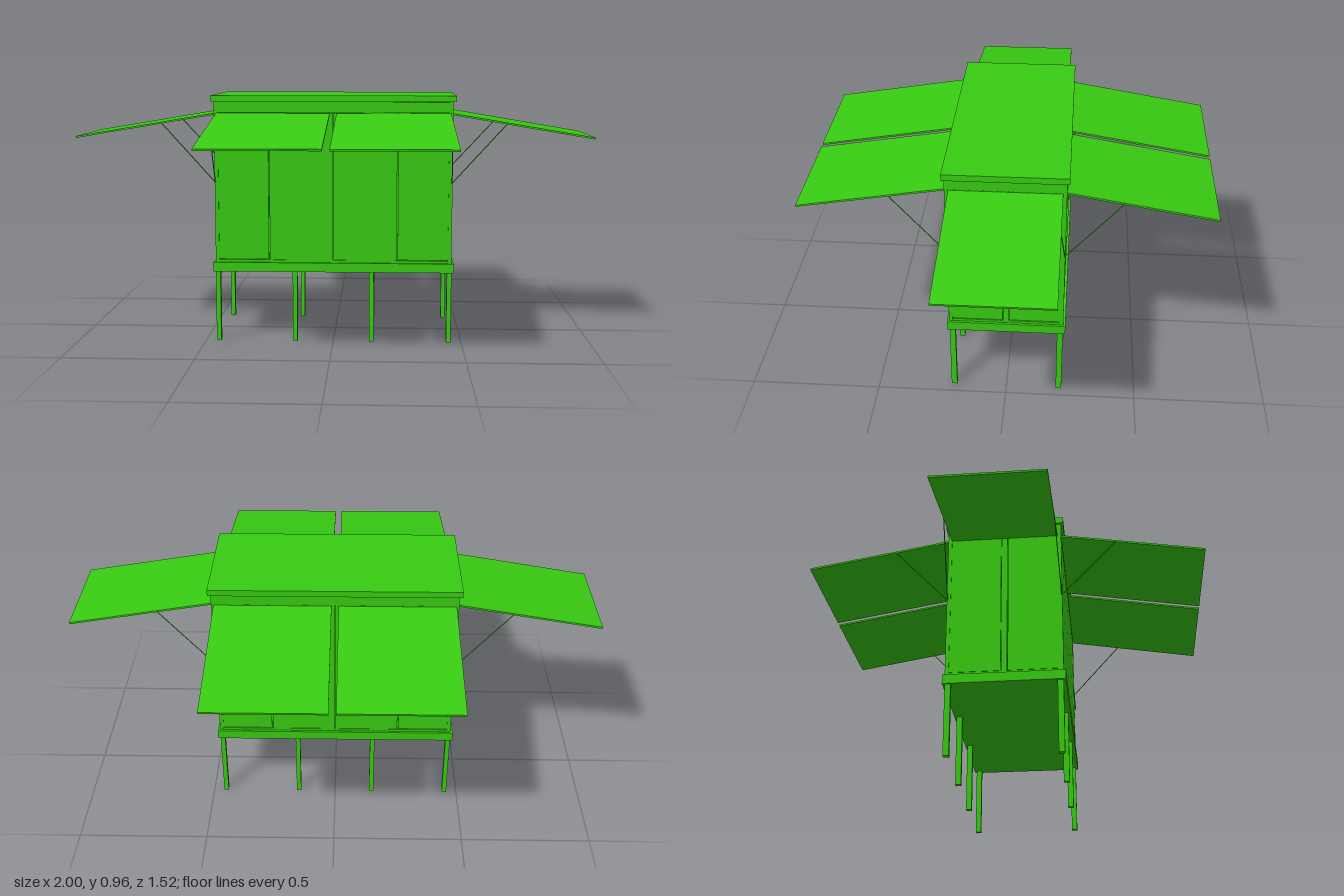
import * as THREE from 'three';

export function createModel() {
  const model = new THREE.Group();
  const green = new THREE.MeshStandardMaterial({ color: 0x38cc12 });

  // Box given by its size and centre
  function box(name, w, h, d, x, y, z, parent = model) {
    const mesh = new THREE.Mesh(new THREE.BoxGeometry(w, h, d), green);
    mesh.name = name;
    mesh.position.set(x, y, z);
    parent.add(mesh);
    return mesh;
  }

  // Thin round bar between two points
  function strut(a, b, parent) {
    const dir = b.clone().sub(a);
    const mesh = new THREE.Mesh(new THREE.CylinderGeometry(0.002, 0.002, dir.length(), 6), green);
    mesh.name = 'strut';
    mesh.position.copy(a).add(b).multiplyScalar(0.5);
    mesh.quaternion.setFromUnitVectors(new THREE.Vector3(0, 1, 0), dir.normalize());
    parent.add(mesh);
  }

  // Floor platform and roof slab
  box('floor', 0.934, 0.036, 0.45, 0, 0.295, 0);
  box('roof', 0.938, 0.024, 0.452, 0, 0.948, 0);

  // Legs, four along each long side
  for (const z of [-0.205, 0.205])
    for (const x of [-0.45, -0.149, 0.149, 0.45])
      box('leg', 0.018, 0.28, 0.022, x, 0.14, z);

  // Corner posts
  for (const z of [-0.21, 0.21])
    for (const x of [-0.451, 0.451])
      box('cornerPost', 0.014, 0.624, 0.014, x, 0.624, z);

  // One wall facing +z in its own frame, with its awnings and their struts
  function wall(name, turn, half, dist, panels, awnings) {
    const g = new THREE.Group();
    g.name = name;
    g.rotation.y = turn;
    model.add(g);
    const inner = half - 0.012;
    box('topBeam', inner * 2, 0.04, 0.014, 0, 0.915, dist - 0.007, g);
    for (const [x0, x1, bottom] of panels)
      box('wallPanel', x1 - x0, 0.893 - bottom, 0.008, (x0 + x1) / 2, (0.893 + bottom) / 2, dist - 0.007, g);
    box('wallBacking', inner * 2, 0.6, 0.006, 0, 0.613, dist - 0.013, g);
    box('bottomRail', inner * 2, 0.01, 0.012, 0, 0.318, dist - 0.007, g);

    // Awnings hinged under the top beam and sloping outward
    const run = 0.541, drop = 0.091;
    for (const [x0, x1] of awnings) {
      const awning = box('awning', x1 - x0, 0.007, Math.hypot(run, drop),
        (x0 + x1) / 2, 0.889 - drop / 2, dist + run / 2, g);
      awning.rotation.x = Math.atan2(drop, run);
    }
    for (const s of [-1, 1])
      strut(new THREE.Vector3(s * (half - 0.002), 0.625, dist - 0.003),
        new THREE.Vector3(s * (half - 0.014), 0.853, dist + 0.205), g);
    return g;
  }

  // Long walls: fixed outer panels and a pair of taller middle doors
  const longPanels = [[-0.444, -0.25, 0.325], [-0.246, -0.002, 0.314], [0.002, 0.246, 0.314], [0.25, 0.444, 0.325]];
  const longAwnings = [[-0.449, -0.013], [0.013, 0.449]];
  wall('frontWall', 0, 0.458, 0.217, longPanels, longAwnings);
  const back = wall('backWall', Math.PI, 0.458, 0.217, longPanels, longAwnings);
  box('doorHandle', 0.006, 0.13, 0.008, -0.232, 0.63, 0.217, back);

  // End walls: two panels either side of a middle post
  const endPanels = [[-0.203, -0.013, 0.325], [0.013, 0.203, 0.325]];
  for (const s of [-1, 1]) {
    const end = wall(s > 0 ? 'leftWall' : 'rightWall', s * Math.PI / 2, 0.217, 0.458, endPanels, [[-0.203, 0.203]]);
    box('middlePost', 0.022, 0.58, 0.013, 0, 0.605, 0.4515, end);
  }
  return model;
}
